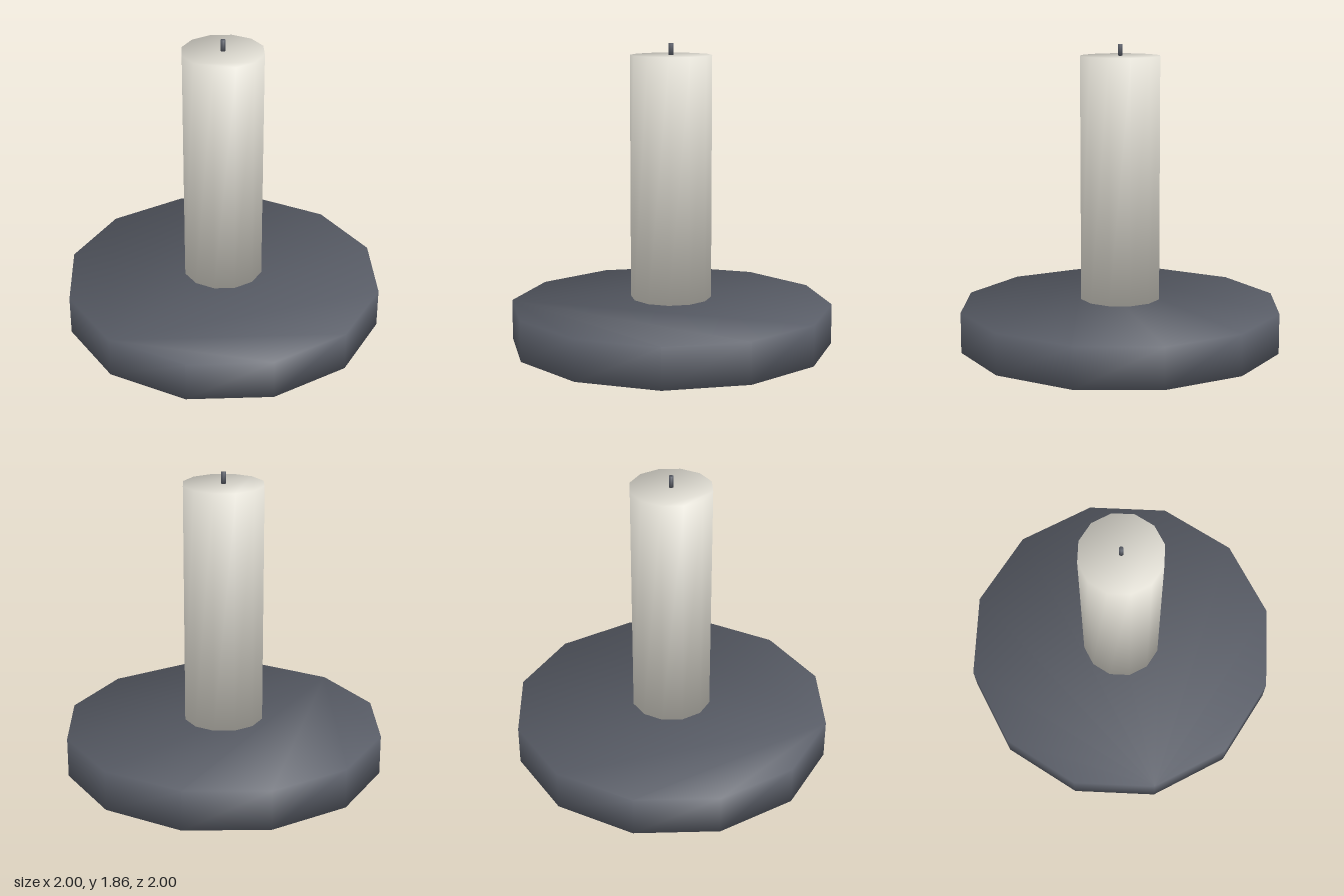
import * as THREE from 'three';

const SIDES = 12;

// Closed prism whose walls and caps share softly averaged rim normals
function softPrism(radius, y0, y1) {
  const positions = [], normals = [], index = [];
  for (const [y, up] of [[y0, -1], [y1, 1]]) {
    for (let i = 0; i < SIDES; i++) {
      const a = (i / SIDES) * Math.PI * 2;
      const s = Math.sin(a), c = Math.cos(a);
      positions.push(radius * s, y, radius * c);
      normals.push(s * Math.SQRT1_2, up * Math.SQRT1_2, c * Math.SQRT1_2);
    }
  }
  // walls
  for (let i = 0; i < SIDES; i++) {
    const j = (i + 1) % SIDES;
    index.push(i, j, SIDES + j, i, SIDES + j, SIDES + i);
  }
  // bottom and top caps
  for (let i = 1; i < SIDES - 1; i++) {
    index.push(0, i + 1, i);
    index.push(SIDES, SIDES + i, SIDES + i + 1);
  }
  const geometry = new THREE.BufferGeometry();
  geometry.setAttribute('position', new THREE.Float32BufferAttribute(positions, 3));
  geometry.setAttribute('normal', new THREE.Float32BufferAttribute(normals, 3));
  geometry.setIndex(index);
  return geometry;
}

export function createModel() {
  const group = new THREE.Group();
  group.name = 'candleOnPlate';

  const slate = new THREE.MeshStandardMaterial({ color: 0x5a5e68 });
  slate.name = 'slate grey';
  const wax = new THREE.MeshStandardMaterial({ color: 0xe0ddd3 });
  wax.name = 'ivory wax';

  const add = (name, material, radius, y0, y1) => {
    const mesh = new THREE.Mesh(softPrism(radius, y0, y1), material);
    mesh.name = name;
    group.add(mesh);
  };

  add('plate', slate, 1, 0, 0.25);
  // the candle floats slightly above the plate
  add('candle', wax, 0.25, 0.29, 1.79);
  add('wick', slate, 0.014, 1.79, 1.86);

  return group;
}
